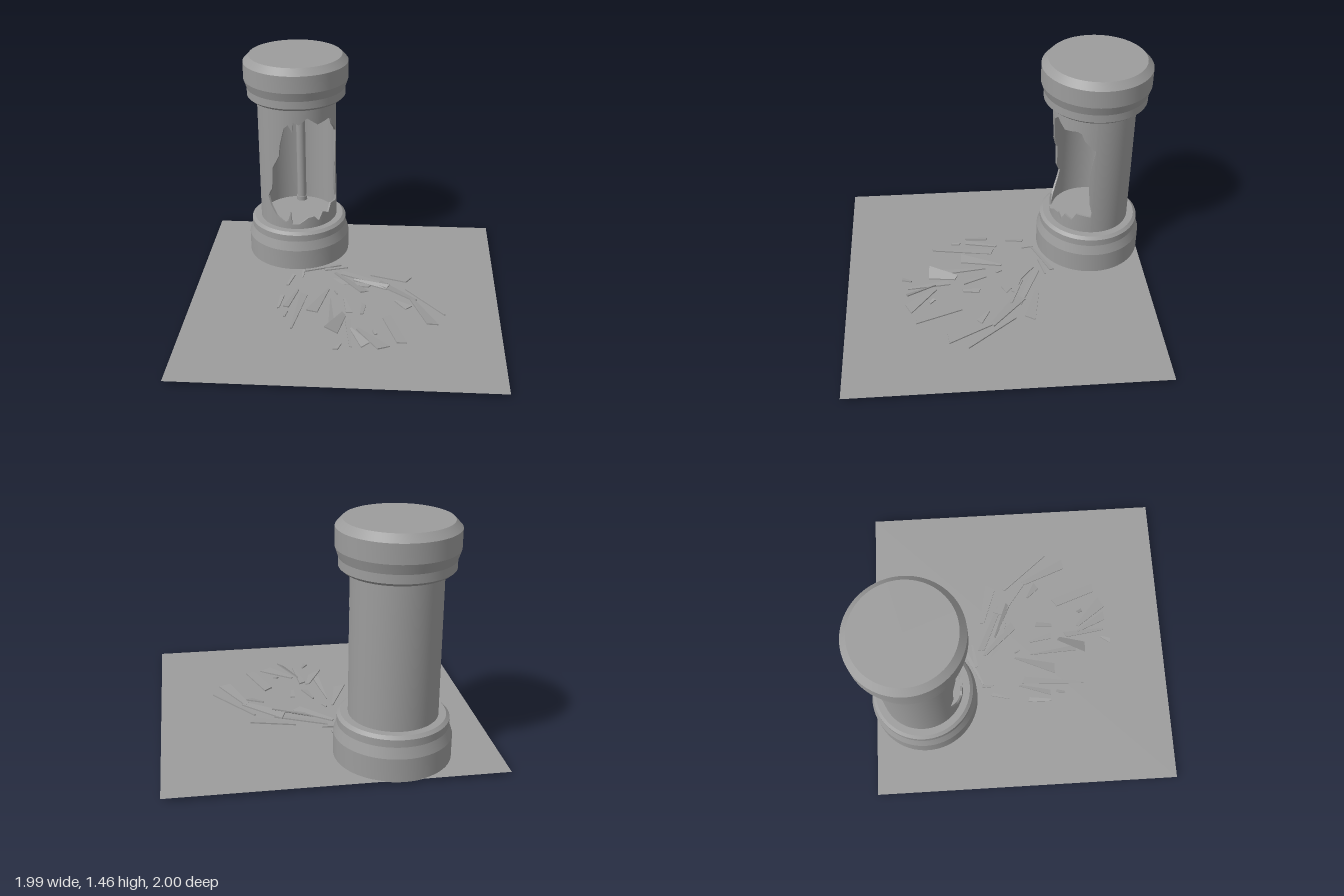
import * as THREE from 'three';
import { toCreasedNormals } from 'three/addons/utils/BufferGeometryUtils.js';

const grey = new THREE.MeshStandardMaterial({ color: 0x9c9c9c });
const greyThin = new THREE.MeshStandardMaterial({ color: 0x9c9c9c, side: THREE.DoubleSide });
const FLOOR = 0.027, WALL_LOW = 0.296, WALL_HIGH = 1.177, R_OUT = 0.265, R_IN = 0.252;

function add(parent, name, geometry, material = grey) {
  const mesh = new THREE.Mesh(geometry, material);
  mesh.name = name;
  parent.add(mesh);
  return mesh;
}

function turned(profile) {
  const points = profile.map(([r, y]) => new THREE.Vector2(r, y));
  return toCreasedNormals(new THREE.LatheGeometry(points, 72), 0.2);
}

// Curved slab of wall: each entry is [angle in degrees from the front, low y, high y]
function wallPatch(entries) {
  const cols = [entries[0]];
  for (let i = 1; i < entries.length; i++) {
    const p = entries[i - 1], q = entries[i];
    const n = Math.max(1, Math.ceil((q[0] - p[0]) / 5));
    for (let k = 1; k <= n; k++) cols.push(p.map((v, j) => v + (q[j] - v) * k / n));
  }
  const pos = [], index = [];
  cols.forEach(([deg, lo, hi], i) => {
    const a = THREE.MathUtils.degToRad(deg), s = Math.sin(a), c = Math.cos(a);
    pos.push(R_IN * s, lo, R_IN * c, R_OUT * s, lo, R_OUT * c,
      R_OUT * s, hi, R_OUT * c, R_IN * s, hi, R_IN * c);
    if (i === 0) return;
    for (let k = 0; k < 4; k++) {
      const p = (i - 1) * 4, q = i * 4, m = (k + 1) % 4;
      index.push(p + k, q + k, q + m, p + k, q + m, p + m);
    }
  });
  const g = new THREE.BufferGeometry();
  g.setAttribute('position', new THREE.Float32BufferAttribute(pos, 3));
  g.setIndex(index);
  return toCreasedNormals(g, 0.4);
}

// Tapered splinter lying from (x0, z0) to (x1, z1)
function shard([x0, z0, x1, z1, w0, w1, roll = 0, dip = 0], i) {
  const g = new THREE.BoxGeometry(1, 0.009, 1), p = g.attributes.position;
  const len = Math.hypot(x1 - x0, z1 - z0), dx = (x1 - x0) / len, dz = (z1 - z0) / len;
  const tilt = roll || 0.18 * Math.sin(i * 1.9);
  const lift = 0.037 + Math.abs(roll) * Math.max(w0, w1) * 0.3;
  const y0 = lift + 0.006 * Math.sin(i * 2.3) - dip, y1 = lift + 0.008 * Math.sin(i * 3.7 + 1);
  for (let k = 0; k < p.count; k++) {
    const t = p.getZ(k) + 0.5, side = p.getX(k) * (w0 + (w1 - w0) * t);
    // one corner of each end is drawn back so the ends are slanted
    const along = t * len + (t - 0.5) * side * 0.6;
    p.setXYZ(k, x0 + dx * along + dz * side,
      y0 + (y1 - y0) * t + p.getY(k) + side * tilt, z0 + dz * along - dx * side);
  }
  g.computeVertexNormals();
  return g;
}

// Upper and lower outlines of the broken opening: [angle, y]
const upperEdge = [[-45, .51], [-36, .58], [-34, .73], [-22, .83], [-20, .91], [-13, 1.035],
  [-7, 1.06], [-1, 1.01], [0, 1.08], [9, 1.06], [21, 1.105], [37, 1.05], [58, 1.07],
  [64, 1.06], [69, 1.01], [85, .94]];
const lowerEdge = [[-45, .51], [-40, .45], [-29, .38], [-15, .34], [-10, .36], [-6, .42],
  [-4, .33], [6, .33], [20, .375], [30, .38], [37, .34], [44, .4], [56, .375], [63, .435],
  [84, .42], [85, .45]];

// Splinters: x0, z0, x1, z1, start width, end width, optional roll and dip
const nearShards = [
  [.16, -.245, .42, -.175, .03, .07], [-.3, -.265, -.3, -.19, .02, .01],
  [-.39, -.08, -.36, -.2, .015, .025], [-.29, -.255, -.05, -.37, .01, .03],
  [-.18, -.2, .16, -.09, .06, .03, .1, .026], [-.16, -.3, 0, -.32, .03, .01],
  [-.08, -.24, .13, -.03, .02, .06], [.05, -.16, .28, -.06, .01, .03, .7],
  [-.04, -.26, .27, -.12, .04, .03], [.22, -.13, .46, .07, .07, .03],
  [.4, -.08, .65, .23, .015, .01], [.33, .08, .42, .15, .01, .05],
  [.44, .06, .57, .35, .03, .07], [-.07, -.03, -.05, .01, .01, .01],
  [-.2, .24, -.11, -.03, .07, .01]];
const farShards = [
  [.28, .27, .38, .55, .06, .06], [-.42, .2, -.41, .05, .015, .03],
  [-.37, .2, -.31, -.01, .035, .01], [-.31, .43, -.27, .02, .01, .05],
  [-.09, .08, -.06, .4, .005, .04], [0, .08, .04, .23, .01, .04],
  [.12, .24, .13, .13, .02, .03], [-.06, .46, .01, .28, .08, .03, .5],
  [.04, .33, .07, .6, .04, .015], [.06, .42, .16, .61, .01, .05, .6],
  [.1, .42, .27, .6, .02, .08], [-.02, .64, .01, .58, .03, .01],
  [-.37, .3, -.36, .24, .01, .02], [.2, .43, .22, .46, .02, .02]];

export function createModel() {
  const model = new THREE.Group();

  // Ground sheet
  const ground = add(model, 'floor', new THREE.PlaneGeometry(1.99, 1.985), greyThin);
  ground.rotation.x = -Math.PI / 2;
  ground.position.set(0, FLOOR, 0.006);

  // Broken cylinder tank standing at the back, its foot just below the ground sheet
  const tank = new THREE.Group();
  tank.name = 'tank';
  tank.position.set(-0.367, 0, -0.65);
  model.add(tank);
  add(tank, 'base', turned([[0, FLOOR - .004], [.35, FLOOR - .004], [.35, .168], [.33, .232],
    [.33, .278], [.31, .296], [0, .296]]));
  add(tank, 'cap', turned([[0, 1.177], [.31, 1.177], [.33, 1.195], [.33, 1.247], [.35, 1.307],
    [.35, 1.422], [.31, 1.465], [0, 1.465]]));

  // Wall around the opening
  const wall = new THREE.Group();
  wall.name = 'brokenWall';
  tank.add(wall);
  add(wall, 'wallBack', wallPatch([[85, WALL_LOW, WALL_HIGH], [315, WALL_LOW, WALL_HIGH]]));
  add(wall, 'wallAbove', wallPatch(upperEdge.map(([a, y]) => [a, y, WALL_HIGH])));
  add(wall, 'wallBelow', wallPatch(lowerEdge.map(([a, y]) => [a, WALL_LOW, y])));
  add(wall, 'wallSideTab', wallPatch([[78, .7, .7], [81, .53, .83], [85, .45, .94]]));

  // Pipe against the rear of the inside, with a small collar
  const pipe = add(tank, 'innerPipe', new THREE.CylinderGeometry(.032, .032, .881, 24));
  pipe.position.set(0, .7365, -.21);
  const collar = add(tank, 'pipeCollar', new THREE.CylinderGeometry(.037, .037, .03, 24));
  collar.position.set(0, .311, -.21);

  // Splinters scattered in front of the opening
  const debris = new THREE.Group();
  debris.name = 'shards';
  model.add(debris);
  [...nearShards, ...farShards].forEach((s, i) => add(debris, 'shard', shard(s, i)));

  return model;
}
